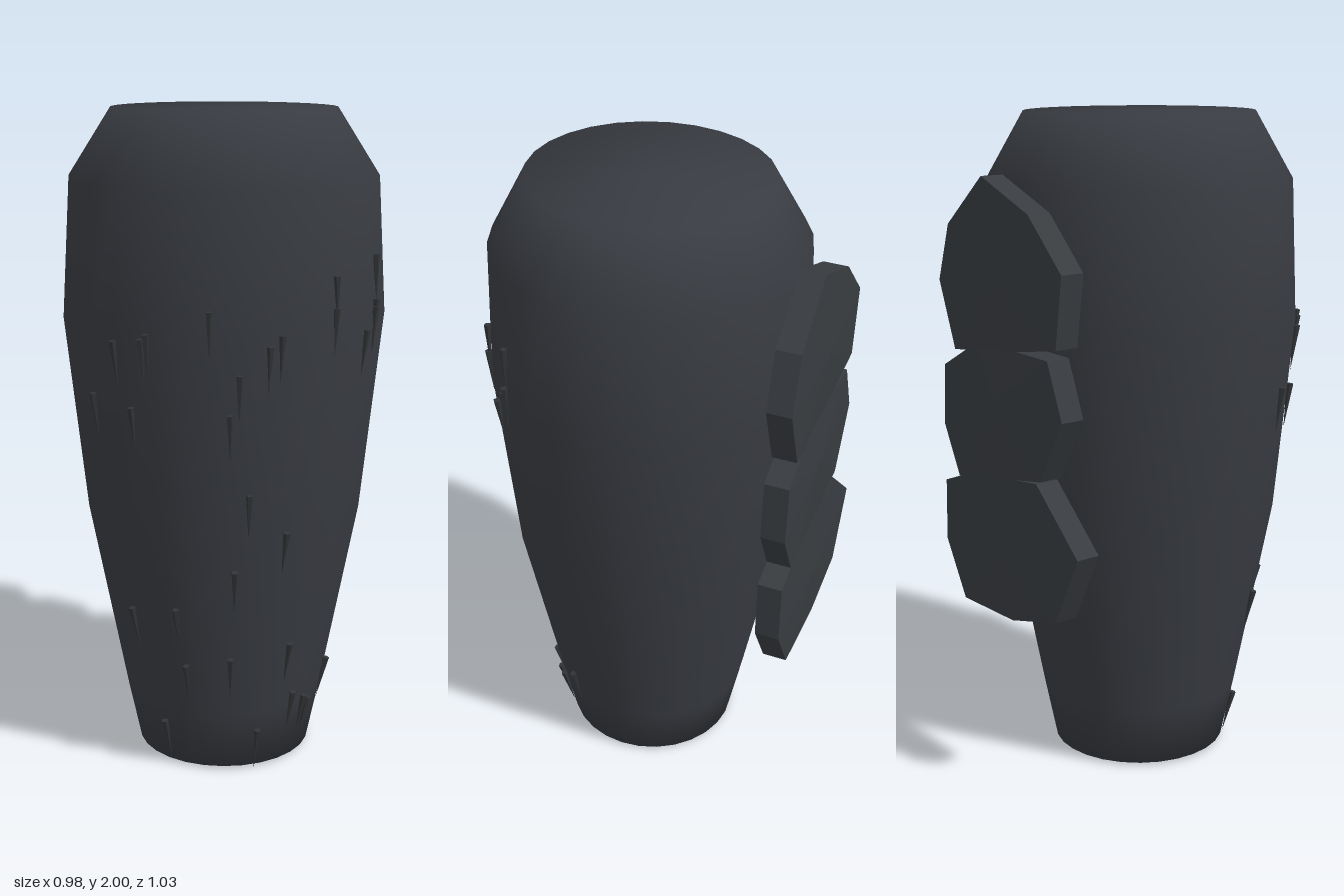
import * as THREE from 'three';

const CENTER_Z = 0.027;
// body rings: height, x radius, z radius
const RINGS = [
  [0.01, 0.27, 0.272], [0.2, 0.31, 0.31], [0.8, 0.425, 0.423],
  [1.39, 0.489, 0.469], [1.8, 0.464, 0.46], [2, 0.335, 0.355],
];

// body radii at a given height
function radiiAt(y) {
  for (let i = 1; i < RINGS.length; i++) {
    const a = RINGS[i - 1], b = RINGS[i];
    if (y <= b[0]) {
      const t = Math.max(0, (y - a[0]) / (b[0] - a[0]));
      return [a[1] + (b[1] - a[1]) * t, a[2] + (b[2] - a[2]) * t];
    }
  }
  return [0.335, 0.355];
}

// smooth barrel with closed, softly shaded ends
function bodyGeometry(sides = 28) {
  const pos = [], idx = [];
  for (const [y, rx, rz] of RINGS) {
    for (let i = 0; i < sides; i++) {
      const a = (i / sides) * Math.PI * 2;
      pos.push(Math.sin(a) * rx, y, CENTER_Z + Math.cos(a) * rz);
    }
  }
  const last = (RINGS.length - 1) * sides;
  const bottom = RINGS.length * sides, top = bottom + 1;
  pos.push(0, 0.01, CENTER_Z, 0, 2, CENTER_Z);
  for (let i = 0; i < sides; i++) {
    const j = (i + 1) % sides;
    for (let r = 0; r < last; r += sides) {
      idx.push(r + i, r + j, r + sides + j, r + i, r + sides + j, r + sides + i);
    }
    idx.push(bottom, j, i, top, last + i, last + j);
  }
  const g = new THREE.BufferGeometry();
  g.setAttribute('position', new THREE.Float32BufferAttribute(pos, 3));
  g.setIndex(idx);
  g.computeVertexNormals();
  return g;
}

// thick irregular plate with a slightly raised centre facing the back;
// outline runs from +x over the top to -x
function plateGeometry(outline) {
  const pos = [], zIn = -0.433, zOut = -0.508;
  const cx = outline.reduce((s, p) => s + p[0], 0) / outline.length;
  const cy = outline.reduce((s, p) => s + p[1], 0) / outline.length;
  outline.forEach(([ax, ay], i) => {
    const [bx, by] = outline[(i + 1) % outline.length];
    pos.push(cx, cy, -0.519, bx, by, zOut, ax, ay, zOut);
    pos.push(cx, cy, zIn, ax, ay, zIn, bx, by, zIn);
    pos.push(ax, ay, zIn, ax, ay, zOut, bx, by, zOut);
    pos.push(ax, ay, zIn, bx, by, zOut, bx, by, zIn);
  });
  const g = new THREE.BufferGeometry();
  g.setAttribute('position', new THREE.Float32BufferAttribute(pos, 3));
  g.computeVertexNormals();
  return g;
}

const PLATES = {
  upperBackPlate: [[0.29, 1.51], [0.235, 1.68], [0.058, 1.83], [-0.165, 1.74],
    [-0.315, 1.59], [-0.285, 1.38], [-0.05, 1.34], [0.215, 1.31]],
  middleBackPlate: [[0.285, 1.07], [0.273, 1.255], [0.105, 1.345], [-0.06, 1.35],
    [-0.245, 1.345], [-0.31, 1.18], [-0.205, 0.99], [0.21, 0.92]],
  lowerBackPlate: [[0.29, 0.7], [0.285, 0.89], [0.14, 0.945], [-0.185, 0.98],
    [-0.375, 0.8], [-0.27, 0.585], [-0.056, 0.53], [0.196, 0.53]],
};

// bristle roots on the front: x, y
const BRISTLES = [
  [0.235, 1.55], [0.235, 1.46], [0.39, 1.59], [0.392, 1.46], [0.388, 1.44], [0.35, 1.38],
  [-0.14, 1.47], [-0.385, 1.37], [-0.318, 1.385], [-0.305, 1.4], [0.03, 1.37], [0.065, 1.4],
  [-0.055, 1.29], [-0.08, 1.175], [-0.43, 1.2], [-0.34, 1.18], [-0.02, 0.935], [0.095, 0.81],
  [-0.055, 0.695], [-0.325, 0.53], [-0.215, 0.56], [-0.18, 0.37], [-0.055, 0.4], [0.13, 0.43],
  [0.295, 0.3], [0.155, 0.25], [0.2, 0.22], [0.215, 0.205], [-0.23, 0.155], [0.04, 0.14],
];

export function createModel() {
  const group = new THREE.Group();
  const hide = new THREE.MeshStandardMaterial({ color: 0x383b41 });
  hide.name = 'charcoal hide';
  const plate = new THREE.MeshStandardMaterial({ color: 0x383c40, flatShading: true });
  plate.name = 'charcoal plate';
  const hair = new THREE.MeshStandardMaterial({ color: 0x313437, flatShading: true });
  hair.name = 'dark bristle';

  const add = (name, geometry, material) => {
    const mesh = new THREE.Mesh(geometry, material);
    mesh.name = name;
    group.add(mesh);
    return mesh;
  };

  add('body', bodyGeometry(), hide);
  for (const [name, outline] of Object.entries(PLATES)) {
    add(name, plateGeometry(outline), plate);
  }

  // bristles lie along the surface, pointing down
  const length = 0.14;
  const cone = new THREE.ConeGeometry(0.011, length, 5);
  const up = new THREE.Vector3(0, 1, 0);
  for (const [x, y] of BRISTLES) {
    const [rx, rz] = radiiAt(y);
    const angle = Math.asin(THREE.MathUtils.clamp(x / (rx + 0.006), -1, 1));
    const onSurface = (h, lift) => {
      const [ax, az] = radiiAt(h);
      return new THREE.Vector3(Math.sin(angle) * (ax + lift), h,
        CENTER_Z + Math.cos(angle) * (az + lift));
    };
    const root = onSurface(y, 0.007), tip = onSurface(y - length, 0.003);
    const bristle = add('bristle', cone, hair);
    bristle.position.copy(root).add(tip).multiplyScalar(0.5);
    bristle.quaternion.setFromUnitVectors(up, tip.sub(root).normalize());
  }
  return group;
}
